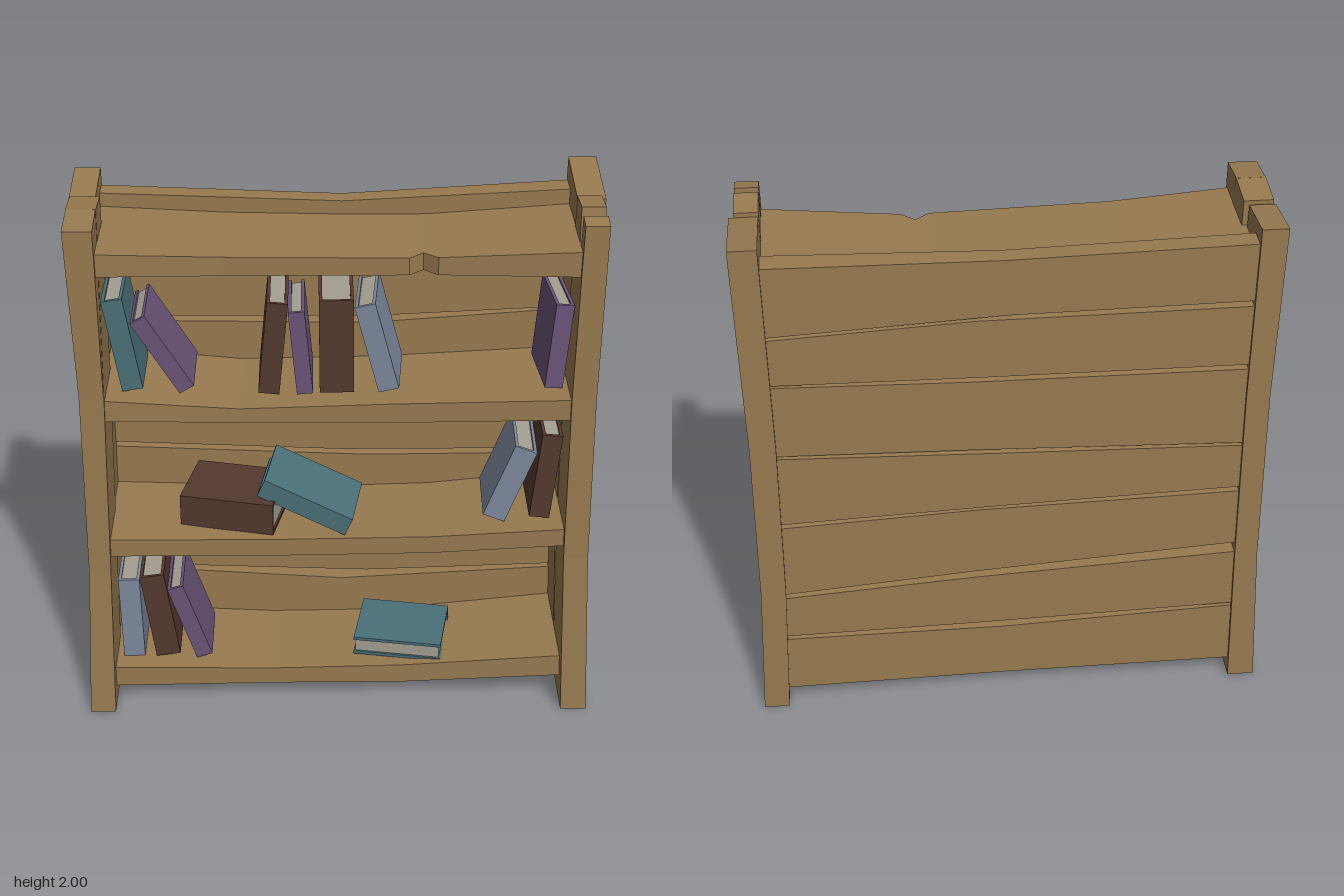
import * as THREE from 'three';

const material = (name, color) => {
  const m = new THREE.MeshStandardMaterial({ color, flatShading: true });
  m.name = name;
  return m;
};

// Joins four-cornered rings (counter-clockwise seen from the sweep direction) into a closed solid
function loft(rings) {
  const pos = [];
  const quad = (a, b, c, d) => pos.push(...a, ...b, ...c, ...a, ...c, ...d);
  for (let r = 0; r < rings.length - 1; r++) {
    const a = rings[r], b = rings[r + 1];
    for (let i = 0; i < 4; i++) {
      const j = (i + 1) % 4;
      quad(a[i], a[j], b[j], b[i]);
    }
  }
  const first = rings[0], last = rings[rings.length - 1];
  quad(first[3], first[2], first[1], first[0]);
  quad(last[0], last[1], last[2], last[3]);
  const geo = new THREE.BufferGeometry();
  geo.setAttribute('position', new THREE.Float32BufferAttribute(pos, 3));
  geo.computeVertexNormals();
  return geo;
}

// Horizontal plank from rows [x, yBottom, yTop, zBack, zFront]
const acrossPlank = (rows) => loft(rows.map(([x, y0, y1, z0, z1]) =>
  [[x, y0, z0], [x, y1, z0], [x, y1, z1], [x, y0, z1]]));

// Vertical plank from rows [y, x0, x1, zBack, zFront, yFront?]; yFront slants the cut
const uprightPlank = (rows) => loft(rows.map(([y, x0, x1, z0, z1, yf = y]) =>
  [[x0, y, z0], [x0, yf, z1], [x1, yf, z1], [x1, y, z0]]));

export function createModel() {
  const model = new THREE.Group();
  model.name = 'bookshelf';
  const wood = material('wood', 0x977a50);
  const paper = material('paper', 0xa69f92);
  const covers = {
    teal: material('tealCover', 0x4a7078),
    purple: material('purpleCover', 0x6a5478),
    brown: material('brownCover', 0x54392f),
    blue: material('blueCover', 0x7c889c),
  };
  const add = (name, geo, mat, parent = model) => {
    const mesh = new THREE.Mesh(geo, mat);
    mesh.name = name;
    parent.add(mesh);
    return mesh;
  };

  // Left uprights
  add('leftBackUpright', uprightPlank([
    [0, 0.85, 0.945, -0.3, 0.02],
    [0.55, 0.83, 0.922, -0.3, 0.015],
    [1.2, 0.825, 0.918, -0.3, 0.008],
    [2.0, 0.835, 0.935, -0.3, 0.0, 1.96],
  ]), wood);
  add('leftFrontUpright', uprightPlank([
    [0, 0.848, 0.945, 0.035, 0.31],
    [0.65, 0.83, 0.92, 0.022, 0.26],
    [1.3, 0.825, 0.912, 0.013, 0.25],
    [1.74, 0.83, 0.916, 0.006, 0.25],
  ]), wood);
  // Two prongs either side of the split
  add('leftFrontUprightInnerProng', uprightPlank([
    [1.74, 0.83, 0.916, 0.006, 0.171],
    [1.975, 0.833, 0.918, 0.004, 0.13, 1.985],
  ]), wood);
  add('leftFrontUprightOuterProng', uprightPlank([
    [1.74, 0.83, 0.916, 0.171, 0.25],
    [1.975, 0.833, 0.918, 0.183, 0.25, 1.965],
  ]), wood);

  // Right uprights
  add('rightBackUpright', uprightPlank([
    [0, -0.95, -0.85, -0.285, 0.01],
    [0.6, -0.925, -0.84, -0.28, -0.01],
    [1.3, -0.92, -0.835, -0.28, -0.035],
    [1.975, -0.935, -0.842, -0.28, -0.06, 1.95],
  ]), wood);
  add('rightFrontUpright', uprightPlank([
    [0, -0.94, -0.845, 0.025, 0.305],
    [0.6, -0.915, -0.835, 0.005, 0.26],
    [1.3, -0.91, -0.822, -0.02, 0.245],
    [1.96, -0.93, -0.825, -0.048, 0.1, 1.972],
  ]), wood);
  add('rightFrontUprightTip', uprightPlank([
    [0.6, -0.914, -0.836, 0.05, 0.26],
    [1.3, -0.909, -0.823, 0.05, 0.245],
    [1.972, -0.929, -0.826, 0.095, 0.25, 1.955],
  ]), wood);

  // Back boards: [bottom left, middle, right], [top left, middle, right] heights along x
  const boards = [
    [[0.075, 0.055, 0.08], [0.34, 0.285, 0.32]],
    [[0.352, 0.318, 0.335], [0.6, 0.54, 0.515]],
    [[0.645, 0.562, 0.533], [0.882, 0.846, 0.84]],
    [[0.902, 0.866, 0.858], [1.085, 1.1, 1.15]],
    [[1.097, 1.115, 1.162], [1.413, 1.405, 1.45]],
    [[1.432, 1.428, 1.458], [1.67, 1.658, 1.638]],
    [[1.692, 1.67, 1.65], [1.915, 1.886, 1.92]],
  ];
  boards.forEach(([lo, hi], i) => {
    const bow = i % 2 ? 0.008 : 0;
    add('backBoard', acrossPlank([
      [-0.87, lo[0], hi[0], -0.268, -0.19],
      [i % 3 ? 0.12 : 0.02, lo[1], hi[1], -0.246 - bow, -0.175 - bow],
      [0.87, lo[2], hi[2], -0.285, -0.195],
    ]), wood);
  });

  // Shelves, sagging in the middle
  const back = -0.2;
  add('bottomShelf', acrossPlank([
    [-0.87, 0.07, 0.155, back, 0.235],
    [-0.25, 0.06, 0.128, back, 0.21],
    [0.25, 0.06, 0.138, back, 0.21],
    [0.87, 0.105, 0.195, back, 0.235],
  ]), wood);
  add('lowerShelf', acrossPlank([
    [-0.87, 0.655, 0.725, back, 0.235],
    [-0.2, 0.638, 0.708, back, 0.21],
    [0.35, 0.645, 0.715, back, 0.21],
    [0.87, 0.69, 0.76, back, 0.235],
  ]), wood);
  add('upperShelf', acrossPlank([
    [-0.87, 1.22, 1.305, back, 0.235],
    [-0.35, 1.2, 1.255, back, 0.21],
    [0.2, 1.192, 1.268, back, 0.205],
    [0.87, 1.215, 1.295, back, 0.235],
  ]), wood);
  // Top shelf with a chipped front edge
  add('topShelf', acrossPlank([
    [-0.87, 1.78, 1.865, back, 0.235],
    [-0.4, 1.772, 1.842, back, 0.21],
    [0.245, 1.768, 1.832, back, 0.203],
    [0.295, 1.768, 1.832, back, 0.16],
    [0.345, 1.768, 1.833, back, 0.203],
    [0.87, 1.77, 1.865, back, 0.235],
  ]), wood);

  // A book: two covers, a spine on its front and inset pages; thickness w, height h
  const depth = 0.27, skin = 0.012;
  function addBook(color, x, y, w, h, tilt, yaw = 0, z = 0.02) {
    const book = new THREE.Group();
    book.name = color + 'Book';
    for (const s of [-1, 1]) {
      add('cover', new THREE.BoxGeometry(skin, h, depth), covers[color], book)
        .position.x = s * (w - skin) / 2;
    }
    add('spine', new THREE.BoxGeometry(w - 2 * skin, h, skin), covers[color], book)
      .position.z = (depth - skin) / 2;
    add('pages', new THREE.BoxGeometry(w - 2 * skin, h - 0.014, depth - skin - 0.008), paper, book)
      .position.z = -0.002;
    book.rotation.set(0, yaw, tilt, 'YXZ');
    book.position.set(x, y, z);
    model.add(book);
  }
  const flat = -Math.PI / 2;
  [
    // upper shelf
    ['teal', -0.757, 1.48, 0.075, 0.355, 0.165],
    ['purple', -0.618, 1.442, 0.06, 0.32, 0.54],
    ['brown', -0.227, 1.463, 0.075, 0.355, -0.1],
    ['purple', -0.13, 1.445, 0.058, 0.322, 0.09],
    ['brown', -0.003, 1.47, 0.122, 0.36, 0.005],
    ['blue', 0.15, 1.463, 0.075, 0.34, 0.26, -0.08],
    ['purple', 0.772, 1.465, 0.065, 0.325, -0.08, 0.08],
    // lower shelf
    ['blue', 0.635, 0.905, 0.085, 0.31, -0.36, -0.03],
    ['brown', 0.762, 0.935, 0.075, 0.345, -0.1],
    ['brown', -0.38, 0.777, 0.125, 0.352, flat, -0.22],
    ['teal', -0.1, 0.82, 0.075, 0.355, flat - 0.41, -0.15, 0.04],
    // bottom shelf
    ['blue', -0.78, 0.325, 0.08, 0.345, 0.02],
    ['brown', -0.672, 0.335, 0.092, 0.36, 0.14],
    ['purple', -0.56, 0.305, 0.062, 0.325, 0.32],
    ['teal', 0.25, 0.178, 0.075, 0.335, flat, Math.PI - 0.17, 0.03],
  ].forEach((b) => addBook(...b));

  return model;
}
